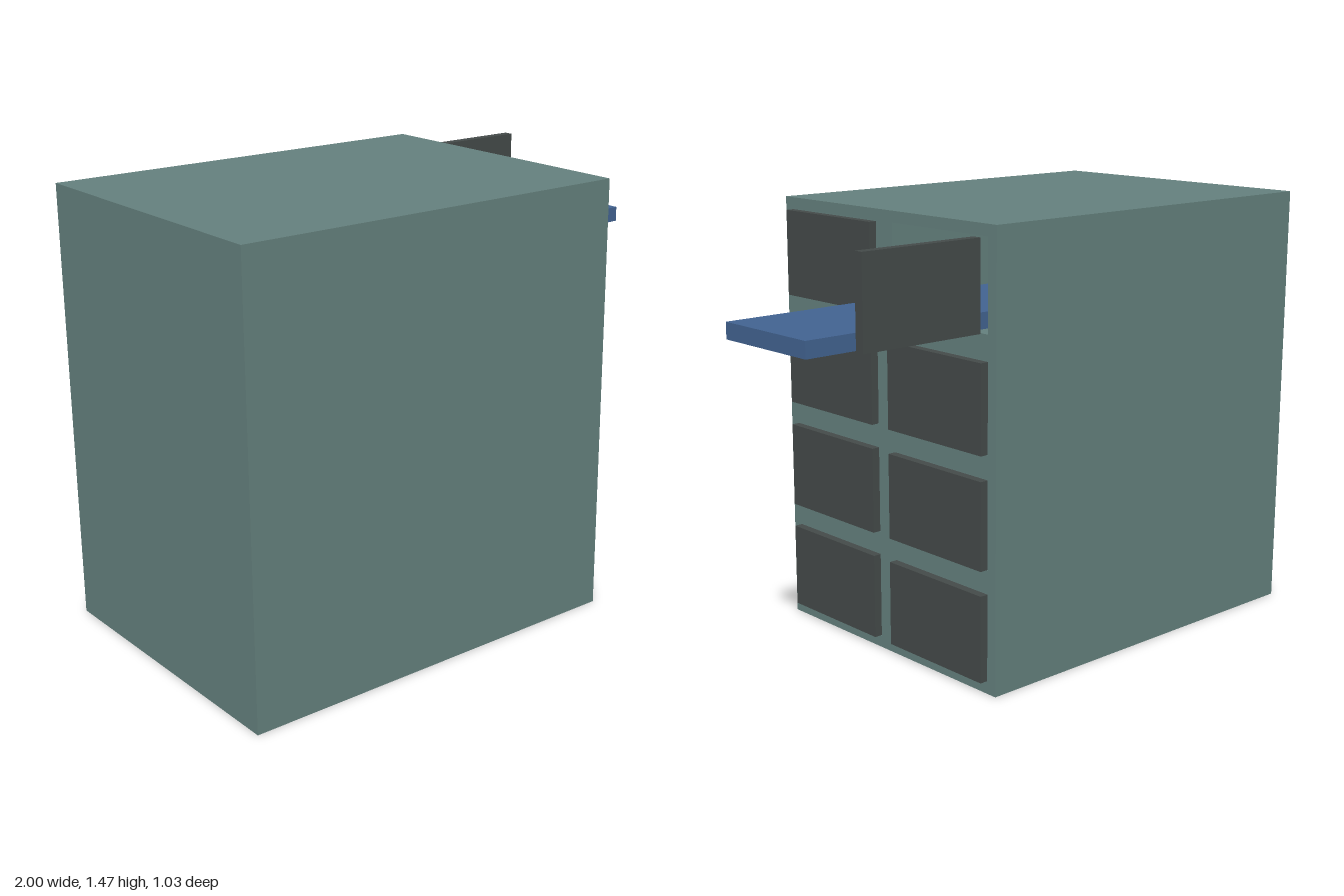
import * as THREE from 'three';

const W = 1.467, HALF_Z = 0.517;            // cabinet height and half depth
const BACK = -1, FACE = 0.38;               // cabinet extent along x
const BAY_W = 0.44, BAY_H = 0.29;           // bay opening
const ROWS = [0.04, 0.405, 0.77, 1.14];     // bottoms of the bays
const COLS = [0.26, -0.26];                 // bay centres along z

const paint = (color) => new THREE.MeshStandardMaterial({ color });

export function createModel() {
  const model = new THREE.Group();
  const shellMat = paint(0x64807d);
  const doorMat = paint(0x444a49);
  const trayMat = paint(0x426391);

  // Box given by its minimum and maximum corners
  function box(name, mat, [x0, y0, z0], [x1, y1, z1]) {
    const mesh = new THREE.Mesh(new THREE.BoxGeometry(x1 - x0, y1 - y0, z1 - z0), mat);
    mesh.position.set((x0 + x1) / 2, (y0 + y1) / 2, (z0 + z1) / 2);
    mesh.name = name;
    model.add(mesh);
  }

  function rect(target, x, y, w, h) {
    target.moveTo(x, y);
    target.lineTo(x + w, y);
    target.lineTo(x + w, y + h);
    target.lineTo(x, y + h);
    target.closePath();
    return target;
  }

  // Cabinet with open bays, closed by a back panel
  const outline = rect(new THREE.Shape(), -HALF_Z, 0, HALF_Z * 2, W);
  for (const y of ROWS) {
    for (const z of COLS) {
      outline.holes.push(rect(new THREE.Path(), -z - BAY_W / 2, y, BAY_W, BAY_H));
    }
  }
  const panel = 0.04;
  const shellGeo = new THREE.ExtrudeGeometry(outline, { depth: FACE - BACK - panel, bevelEnabled: false });
  shellGeo.rotateY(Math.PI / 2);
  shellGeo.translate(BACK + panel, 0, 0);
  const shell = new THREE.Mesh(shellGeo, shellMat);
  shell.name = 'cabinet';
  model.add(shell);
  box('backPanel', shellMat, [BACK, 0, -HALF_Z], [BACK + panel, W, HALF_Z]);

  // Each bay has a sliding tray and a door; the top rear bay is open
  ROWS.forEach((y, row) => COLS.forEach((z, col) => {
    const open = row === 3 && col === 1;
    const zMax = z + BAY_W / 2;
    const trayEnd = open ? 1 : 0.37;
    const trayZ = open ? zMax + 0.004 : zMax - 0.002;
    box('tray', trayMat, [trayEnd - 1.27, y + 0.003, trayZ - 0.384], [trayEnd, y + 0.055, trayZ]);
    if (open) {
      box('openDoor', doorMat, [0.4, y + 0.003, -0.47], [0.84, y + BAY_H - 0.002, -0.438]);
    } else {
      box('door', doorMat, [FACE - 0.002, y + 0.002, z - 0.219], [0.407, y + BAY_H - 0.003, z + 0.219]);
    }
  }));

  return model;
}
